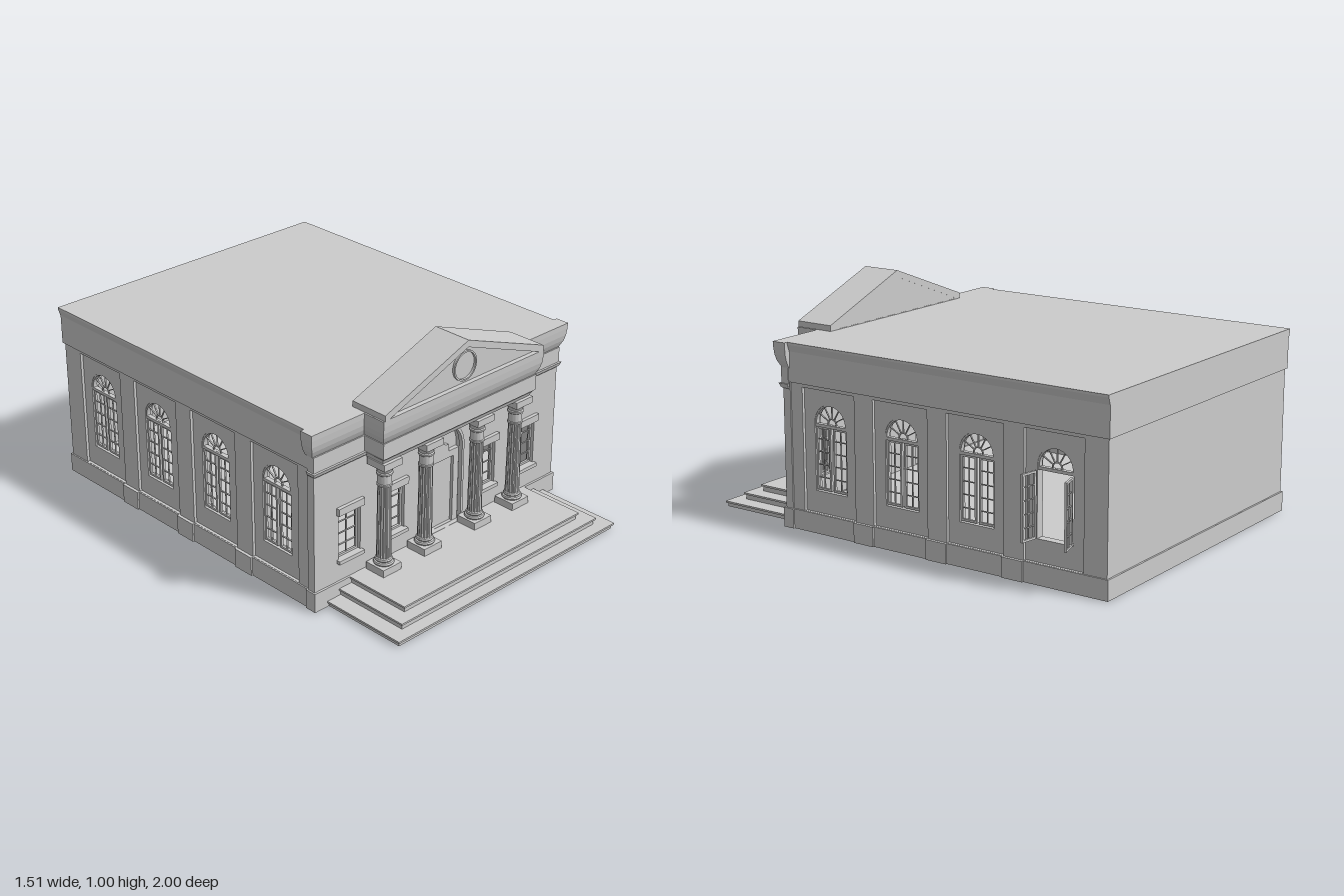
import * as THREE from 'three';
import { toCreasedNormals } from 'three/addons/utils/BufferGeometryUtils.js';

const mat = new THREE.MeshStandardMaterial({ color: 0xcccccc, side: THREE.DoubleSide });

function add(parent, name, geometry, x = 0, y = 0, z = 0) {
  const m = new THREE.Mesh(geometry, mat);
  m.name = name;
  m.position.set(x, y, z);
  parent.add(m);
  return m;
}

// Box given by its limits
function box(parent, name, x0, x1, y0, y1, z0, z1) {
  return add(parent, name, new THREE.BoxGeometry(x1 - x0, y1 - y0, z1 - z0),
    (x0 + x1) / 2, (y0 + y1) / 2, (z0 + z1) / 2);
}

// Block whose sides and front follow a moulding profile of [y, projection]
function moulding(parent, name, halfW, z0, z1, profile) {
  const n = profile.length - 1;
  const g = new THREE.BoxGeometry(2, 1, 1, 1, n, 1).toNonIndexed();
  const p = g.attributes.position;
  for (let i = 0; i < p.count; i++) {
    const [y, out] = profile[Math.round((p.getY(i) + 0.5) * n)];
    p.setXYZ(i, Math.sign(p.getX(i)) * (halfW + out), y, p.getZ(i) > 0 ? z1 + out : z0);
  }
  g.computeVertexNormals();
  return add(parent, name, g);
}

const poly = (pts) => new THREE.Shape(pts.map(([x, y]) => new THREE.Vector2(x, y)));
const rect = (x0, x1, y0, y1) => poly([[x0, y0], [x1, y0], [x1, y1], [x0, y1]]);

// Round-headed opening: half width r, springing at ys
function arch(cx, r, y0, ys) {
  const s = new THREE.Shape();
  s.moveTo(cx - r, y0);
  s.lineTo(cx + r, y0);
  s.lineTo(cx + r, ys);
  s.absarc(cx, ys, r, 0, Math.PI, false);
  s.lineTo(cx - r, y0);
  return s;
}

function slab(parent, name, shape, holes, z0, z1) {
  shape.holes.push(...holes);
  const g = new THREE.ExtrudeGeometry(shape, { depth: z1 - z0, bevelEnabled: false, curveSegments: 20 });
  return add(parent, name, g, 0, 0, z0);
}

// Framed sash with glazing bars, lower left corner at the origin
function sash(parent, name, w, h, cols, rows, edge) {
  const g = new THREE.Group();
  g.name = name;
  slab(g, 'sashFrame', rect(0, w, 0, h), [rect(edge, w - edge, edge, h - edge)], -0.005, 0.005);
  for (let i = 1; i < cols; i++) box(g, 'verticalBar', w * i / cols - 0.002, w * i / cols + 0.002, edge, h - edge, -0.003, 0.003);
  for (let i = 1; i < rows; i++) box(g, 'horizontalBar', edge, w - edge, h * i / rows - 0.002, h * i / rows + 0.002, -0.003, 0.003);
  parent.add(g);
  return g;
}

const BAYS = [0.358, -0.012, -0.381, -0.749];
const R = 0.083, SPRING = 0.472;

// Side wall, built facing +z and then turned outward
function sideWall(house, s) {
  const wall = new THREE.Group();
  wall.name = s > 0 ? 'leftWall' : 'rightWall';
  wall.rotation.y = s * Math.PI / 2;
  const span = (a, b) => [Math.min(-s * a, -s * b), Math.max(-s * a, -s * b)];
  const [u0, u1] = span(-0.99, 0.59);
  const us = BAYS.map((z) => -s * z);
  slab(wall, 'wallPanel', rect(u0, u1, 0.06, 0.79), us.map((u) => arch(u, R, 0.18, SPRING)), 0.65, 0.687);
  slab(wall, 'pilasters', rect(u0, u1, 0.08, 0.64),
    us.map((u) => rect(u - 0.137, u + 0.137, 0.086, 0.615)), 0.687, 0.7);
  box(wall, 'plinth', ...span(-1, 0.6), 0, 0.085, 0.66, 0.706);
  box(wall, 'upperBand', ...span(-1, 0.59), 0.63, 0.79, 0.66, 0.708);
  for (let i = 0; i < 3; i++) {
    const m = -s * (BAYS[i] + BAYS[i + 1]) / 2;
    box(wall, 'pilasterBase', m - 0.05, m + 0.05, 0, 0.085, 0.70, 0.7135);
  }

  us.forEach((u, i) => {
    const win = new THREE.Group();
    win.name = 'archedWindow';
    win.position.set(u, 0, 0.675);
    wall.add(win);
    // fanlight
    slab(win, 'fanlightFrame', arch(0, R, 0.455, SPRING), [arch(0, R - 0.007, 0.468, SPRING)], -0.01, 0.01);
    slab(win, 'fanlightHub', arch(0, 0.024, 0.468, SPRING), [arch(0, 0.019, 0.4685, SPRING)], -0.003, 0.003);
    for (let k = 1; k < 6; k++) {
      const a = k * Math.PI / 6;
      const bar = add(win, 'fanlightBar', new THREE.BoxGeometry(0.058, 0.004, 0.006),
        Math.cos(a) * 0.05, SPRING + Math.sin(a) * 0.05, 0);
      bar.rotation.z = a;
    }
    // casements, one pair standing open
    const open = s > 0 && i === 3;
    for (const side of [-1, 1]) {
      const leaf = sash(win, 'casement', 0.077, 0.272, 2, 5, 0.009);
      leaf.position.set(side * R, 0.184, open ? 0.026 : 0);
      if (side > 0) leaf.rotation.y = Math.PI;
      if (open) leaf.rotation.y += side * THREE.MathUtils.degToRad(side > 0 ? 106 : 98);
    }
  });
  house.add(wall);
}

// Fluted column with base and capital
function column(parent, x, z) {
  const g = new THREE.Group();
  g.name = 'column';
  g.position.set(x, 0, z);
  box(g, 'base', -0.05, 0.05, 0.085, 0.117, -0.05, 0.05);
  box(g, 'abacus', -0.049, 0.049, 0.562, 0.592, -0.049, 0.049);
  const turned = (name, pts) => add(g, name, toCreasedNormals(
    new THREE.LatheGeometry(pts.map(([r, y]) => new THREE.Vector2(r, y)), 28), 0.6));
  turned('footRings', [[0, 0.117], [0.04, 0.117], [0.043, 0.123], [0.04, 0.13], [0.034, 0.132], [0.037, 0.138], [0.034, 0.144], [0.028, 0.147]]);
  turned('capital', [[0.028, 0.47], [0.032, 0.473], [0.032, 0.48], [0.029, 0.483], [0.029, 0.52], [0.034, 0.524], [0.034, 0.531],
    [0.03, 0.535], [0.033, 0.545], [0.04, 0.555], [0.04, 0.563], [0, 0.563]]);
  const shaft = new THREE.CylinderGeometry(0.028, 0.031, 0.335, 64, 1, true);
  const p = shaft.attributes.position;
  for (let i = 0; i < p.count; i++) {
    const k = 1 - 0.14 * Math.abs(Math.sin(8 * Math.atan2(p.getZ(i), p.getX(i))));
    p.setX(i, p.getX(i) * k);
    p.setZ(i, p.getZ(i) * k);
  }
  add(g, 'flutedShaft', toCreasedNormals(shaft, 0.5), 0, 0.31, 0);
  parent.add(g);
}

export function createModel() {
  const model = new THREE.Group();
  model.name = 'classicalBuilding';
  const house = new THREE.Group();
  house.name = 'house';
  house.position.x = -0.02;
  model.add(house);

  // Shell
  box(house, 'floor', -0.69, 0.69, 0.06, 0.083, -0.98, 0.6);
  box(house, 'roof', -0.71, 0.71, 0.775, 0.8, -1, 0.58);
  box(house, 'backWall', -0.7, 0.7, 0.06, 0.79, -0.992, -0.95);
  box(house, 'backPlinth', -0.706, 0.706, 0, 0.085, -1, -0.96);
  box(house, 'backBand', -0.708, 0.708, 0.63, 0.79, -1, -0.96);
  for (const s of [-1, 1]) {
    sideWall(house, s);
    const eave = poly([[0.7, 0.76], [0.709, 0.76], [0.719, 0.79], [0.719, 0.8], [0.7, 0.8]].map(([x, y]) => [s * x, y]));
    slab(house, 'sideEave', eave, [], -1, 0.58);
    box(house, 'frontPlinth', ...(s > 0 ? [0.09, 0.713] : [-0.713, -0.09]), 0, 0.085, 0.55, 0.602);
  }

  // Front wall with its windows
  const wx = [-0.517, -0.27, 0.27, 0.517];
  slab(house, 'frontWall', rect(-0.706, 0.706, 0.083, 0.79),
    [...wx.map((x) => rect(x - 0.06, x + 0.06, 0.183, 0.39)), arch(0, 0.122, 0.084, 0.443)], 0.555, 0.592);
  for (const x of wx) {
    sash(house, 'frontWindow', 0.12, 0.207, 2, 4, 0.009).position.set(x - 0.06, 0.183, 0.572);
    box(house, 'windowSill', x - 0.068, x + 0.068, 0.168, 0.184, 0.58, 0.61);
    box(house, 'windowHeader', x - 0.07, x + 0.07, 0.388, 0.42, 0.58, 0.608);
  }

  // Arched entrance
  slab(house, 'archTrim', arch(0, 0.13, 0.085, 0.443), [arch(0, 0.118, 0.086, 0.443)], 0.58, 0.6);
  slab(house, 'archInfill', arch(0, 0.122, 0.084, 0.443), [], 0.548, 0.56);
  const crown = poly([[-0.12, 0.085], [0.12, 0.085], [0.12, 0.425], [0.062, 0.425], [0.062, 0.455], [0.038, 0.462],
    [0.022, 0.48], [-0.022, 0.48], [-0.038, 0.462], [-0.062, 0.455], [-0.062, 0.425], [-0.12, 0.425]]);
  slab(house, 'doorSurround', crown, [rect(-0.09, 0.09, 0.086, 0.395)], 0.56, 0.578);
  box(house, 'door', -0.09, 0.09, 0.085, 0.395, 0.555, 0.564);

  // Main cornice
  const cornice = [[0.69, 0], [0.702, 0.006], [0.72, 0.014], [0.745, 0.02], [0.775, 0.023], [0.8, 0.024]];
  const string = [[0.598, -0.008], [0.606, 0], [0.612, 0.002], [0.622, 0.006]];
  moulding(house, 'frontCornice', 0.713, 0.553, 0.592, cornice);
  box(house, 'frontFrieze', -0.711, 0.711, 0.62, 0.69, 0.56, 0.598);
  moulding(house, 'stringCourse', 0.712, 0.56, 0.602, string);

  // Portico
  const portico = new THREE.Group();
  portico.name = 'portico';
  house.add(portico);
  for (const x of [-0.3825, -0.149, 0.149, 0.3825]) column(portico, x, 0.65);
  moulding(portico, 'architrave', 0.437, 0.56, 0.695, [[0.59, -0.012], [0.605, -0.006], [0.622, 0.006]]);
  box(portico, 'frieze', -0.442, 0.442, 0.62, 0.69, 0.56, 0.703);
  moulding(portico, 'porticoCornice', 0.438, 0.553, 0.698, cornice);
  const gable = poly([[-0.455, 0.8], [0.455, 0.8], [0.455, 0.825], [0, 0.995], [-0.455, 0.825]]);
  slab(portico, 'pedimentFrame', gable, [poly([[-0.43, 0.803], [0.43, 0.803], [0, 0.965]])], 0.545, 0.723);
  slab(portico, 'tympanum', poly([[-0.44, 0.801], [0.44, 0.801], [0, 0.97]]), [], 0.546, 0.702);
  const medallion = new THREE.Shape().absarc(0, 0.88, 0.065, 0, Math.PI * 2);
  slab(portico, 'medallionRing', medallion, [new THREE.Path().absarc(0, 0.88, 0.058, 0, Math.PI * 2)], 0.70, 0.712);

  // Steps
  [[0.646, 0, 0.025, 1], [0.582, 0.025, 0.055, 0.952], [0.522, 0.055, 0.085, 0.905]].forEach(([w, y0, y1, z]) => {
    box(house, 'stepRiser', -w + 0.008, w - 0.008, y0, y1 - 0.006, 0.6, z - 0.008);
    box(house, 'stepTread', -w, w, y1 - 0.008, y1, 0.6, z);
  });
  return model;
}
